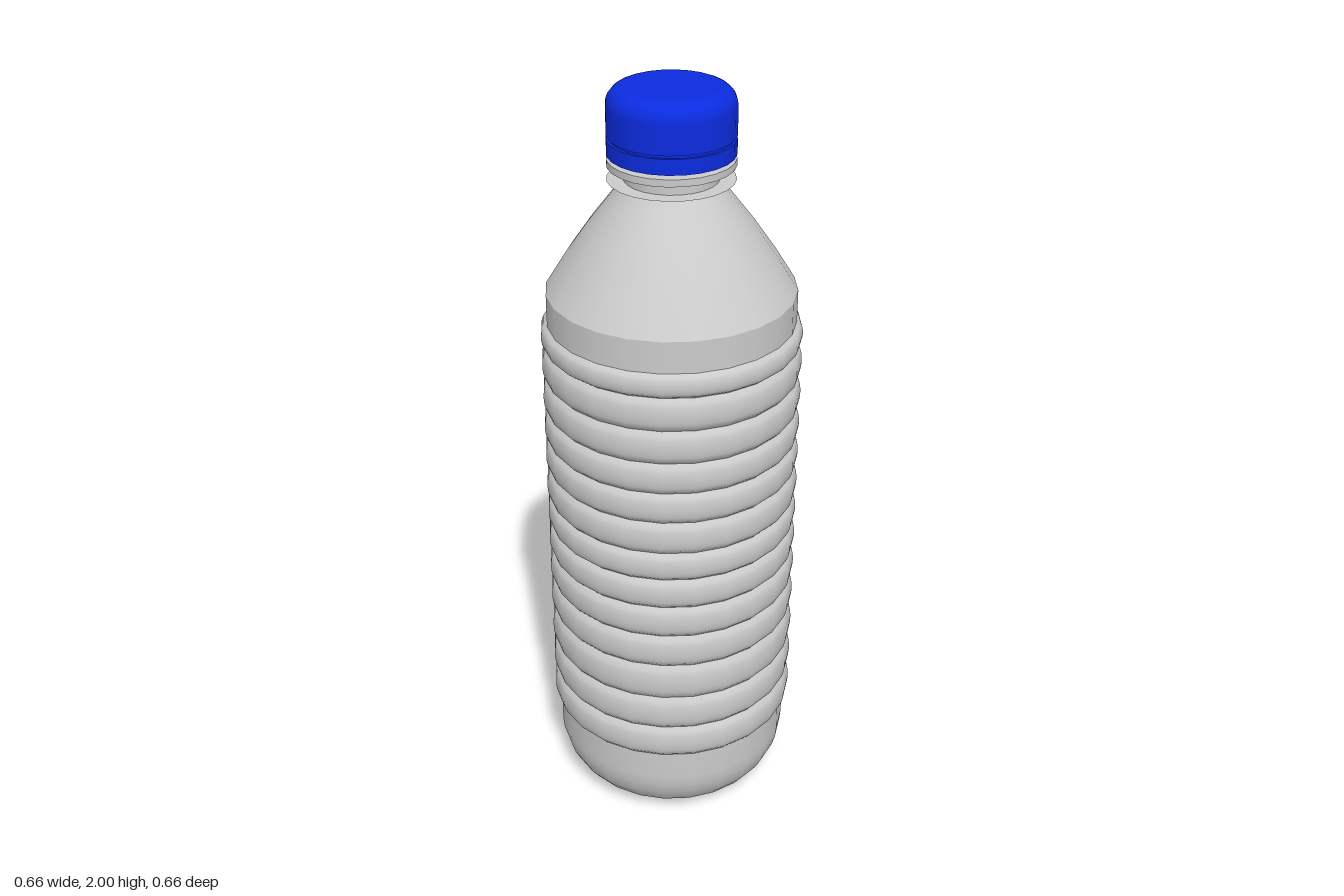
import * as THREE from 'three';

const SIDES = 24;
const plastic = new THREE.MeshStandardMaterial({ color: 0xcccccc, side: THREE.DoubleSide });
const capBlue = new THREE.MeshStandardMaterial({ color: 0x0c2ce0, side: THREE.DoubleSide });

// Turned part from [radius, height] pairs, listed bottom to top on the outside
function turned(name, profile, material = plastic) {
  const points = profile.map(([r, y]) => new THREE.Vector2(r, y));
  const mesh = new THREE.Mesh(new THREE.LatheGeometry(points, SIDES), material);
  mesh.name = name;
  return mesh;
}

// Quarter-ellipse profile: t = 0 at the side, t = 1 at the flat end
function corner(r, y, dr, dy, steps) {
  return Array.from({ length: steps + 1 }, (_, i) => {
    const a = (i / steps) * Math.PI / 2;
    return [r - dr * (1 - Math.cos(a)), y + dy * Math.sin(a)];
  });
}

// Sharp-edged ring with rectangular section
function band(name, inner, outer, bottom, top, material) {
  const group = new THREE.Group();
  group.name = name;
  group.add(
    turned(name + 'Underside', [[inner, bottom], [outer, bottom]], material),
    turned(name + 'Side', [[outer, bottom], [outer, top]], material),
    turned(name + 'Top', [[outer, top], [inner, top]], material),
  );
  return group;
}

export function createModel() {
  const model = new THREE.Group();
  model.name = 'bottle';
  const R = 0.314, BULGE = 0.016;

  // Rounded base and straight lower wall
  model.add(turned('baseFloor', [[0, 0.005], [0.16, 0.005]]));
  model.add(turned('base', [...corner(R, 0.17, 0.154, -0.165, 8).reverse(), [R, 0.25]]));

  // Stacked bulging ribs between grooves
  const grooves = [0.25, 0.345, 0.445, 0.55, 0.645, 0.735, 0.82, 0.90, 0.99, 1.075, 1.16, 1.25, 1.34, 1.405];
  const ribs = new THREE.Group();
  ribs.name = 'ribs';
  for (let i = 0; i < grooves.length - 1; i++) {
    const profile = [];
    for (let k = 0; k <= 8; k++) {
      const t = k / 8;
      profile.push([R + BULGE * Math.sqrt(Math.max(0, 4 * t * (1 - t))), THREE.MathUtils.lerp(grooves[i], grooves[i + 1], t)]);
    }
    ribs.add(turned('rib' + (i + 1), profile));
  }
  model.add(ribs);

  // Upper wall, shoulder and neck
  model.add(turned('upperWall', [[R, 1.405], [R, 1.488]]));
  model.add(turned('shoulder', [[R, 1.488], [0.262, 1.572], [0.205, 1.655], [0.158, 1.716], [0.117, 1.77]]));
  model.add(turned('neck', [[0.117, 1.77], [0.117, 1.9]]));
  model.add(turned('supportRing', [[0.117, 1.773], [0.157, 1.773]]));
  model.add(band('neckRing', 0.117, 0.157, 1.808, 1.826, plastic));

  // Screw cap with tamper band below a narrow gap
  const cap = new THREE.Group();
  cap.name = 'cap';
  cap.add(band('tamperBand', 0.117, 0.157, 1.836, 1.875, capBlue));
  cap.add(turned('capGap', [[0.15, 1.875], [0.15, 1.883]], capBlue));
  cap.add(turned('capUnderside', [[0.117, 1.883], [0.157, 1.883]], capBlue));
  cap.add(turned('capShell', [[0.157, 1.883], ...corner(0.157, 1.955, 0.045, 0.045, 6), [0, 2]], capBlue));
  model.add(cap);

  return model;
}
